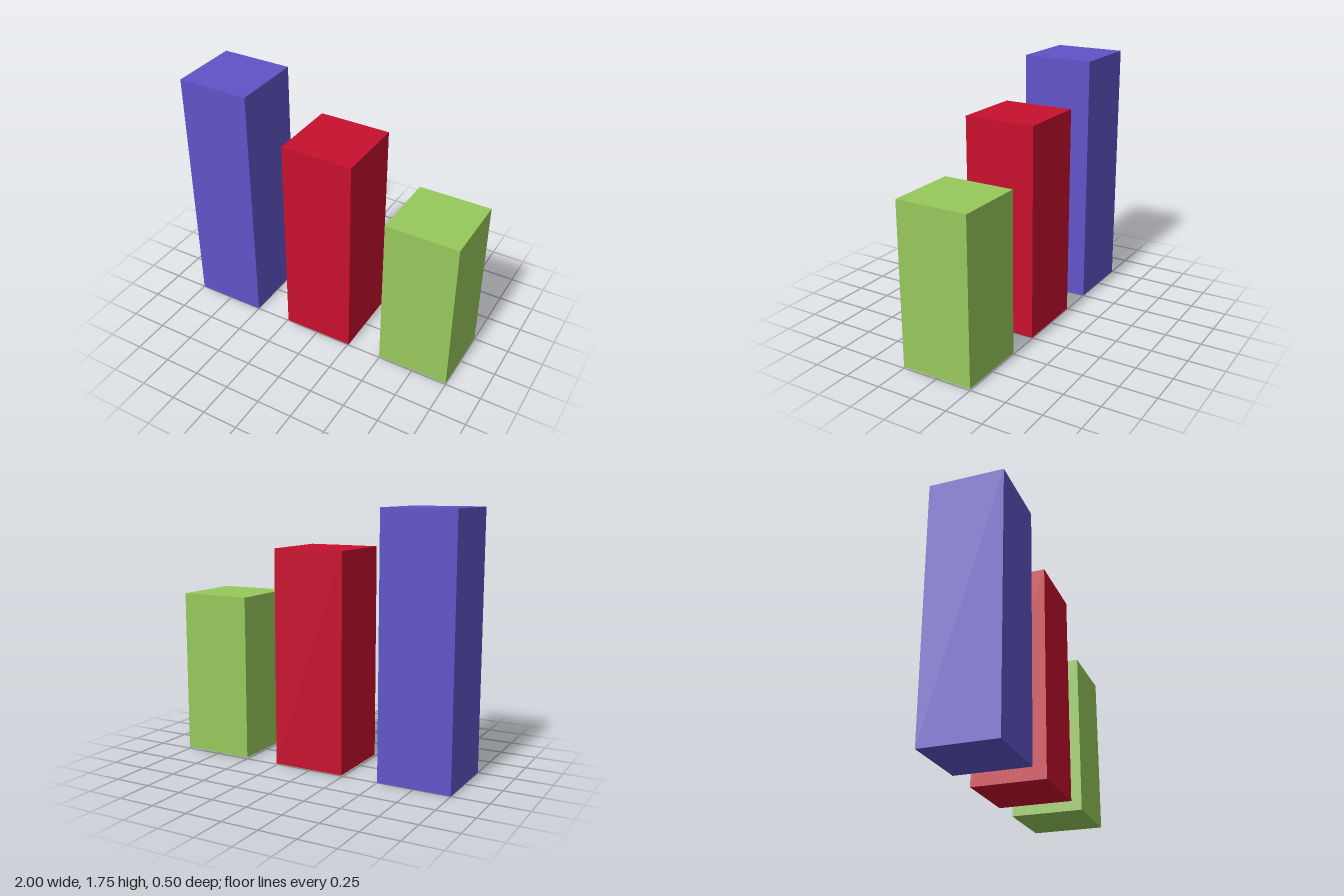
import * as THREE from 'three';

const WIDTH = 0.5;

// One square column standing between two heights
function column(name, x, bottom, top, color) {
  const mesh = new THREE.Mesh(
    new THREE.BoxGeometry(WIDTH, top - bottom, WIDTH),
    new THREE.MeshStandardMaterial({ color })
  );
  mesh.name = name;
  mesh.position.set(x, (top + bottom) / 2, 0);
  return mesh;
}

export function createModel() {
  const group = new THREE.Group();
  group.name = 'barChart';

  // Three bars stepping down towards +x
  group.add(
    column('tallBlueBar', -0.75, 0, 1.745, 0x6053c8),
    column('middleRedBar', 0.009, 0.005, 1.47, 0xc8102e),
    column('shortGreenBar', 0.75, 0.01, 1.13, 0x97c95b)
  );
  return group;
}
